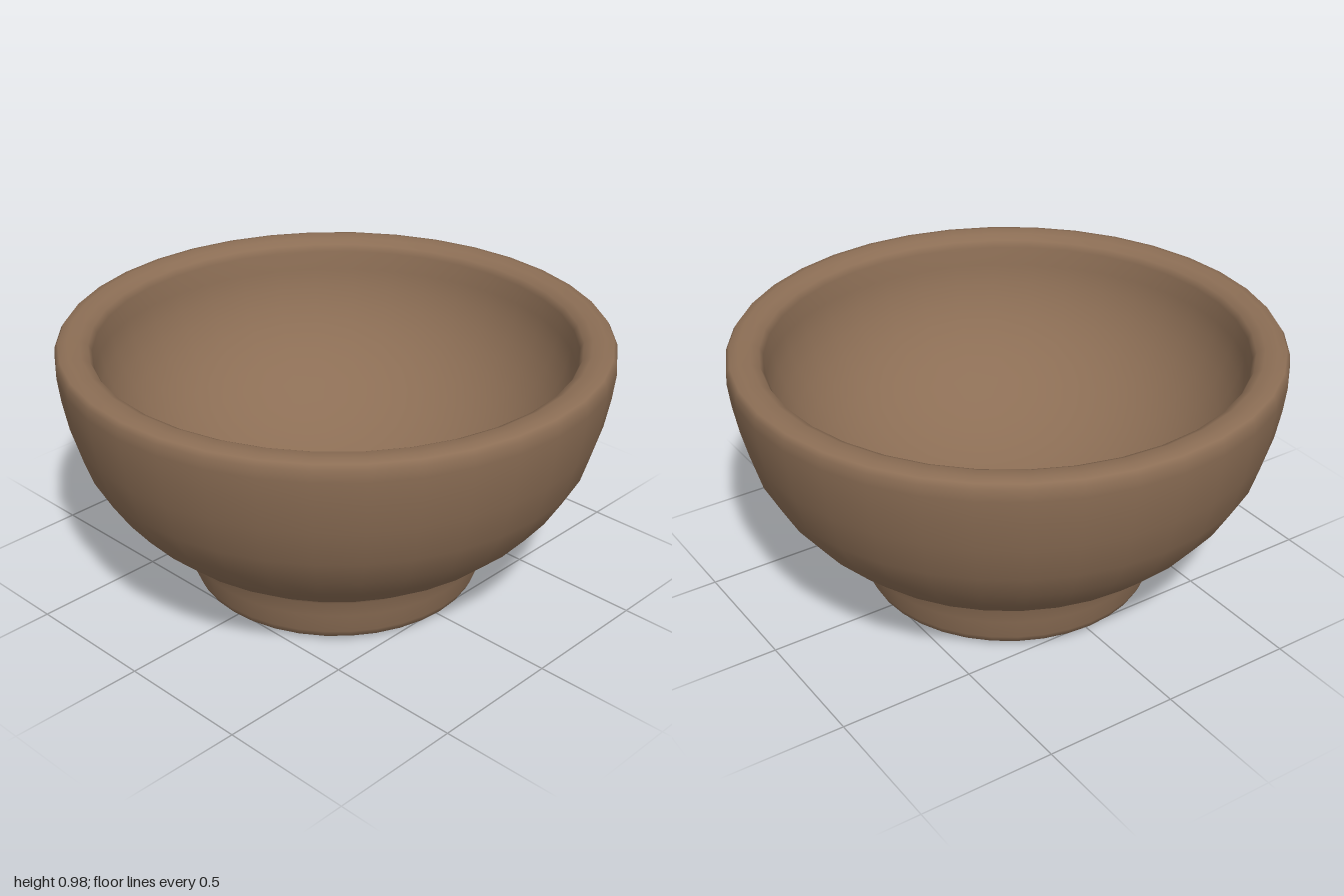
import * as THREE from 'three';

const SEGMENTS = 36;

// Revolve a profile of [radius, height] pairs around the y axis
function turned(name, profile, material) {
  const points = profile.map(([r, y]) => new THREE.Vector2(r, y));
  const mesh = new THREE.Mesh(new THREE.LatheGeometry(points, SEGMENTS), material);
  mesh.name = name;
  return mesh;
}

// Elliptical hollow, from the rim down to the centre
function hollow(radius, top, depth, steps) {
  const profile = [];
  for (let i = 0; i <= steps; i++) {
    const a = (i / steps) * Math.PI / 2;
    profile.push([i === steps ? 0 : radius * Math.cos(a), top - depth * Math.sin(a)]);
  }
  return profile;
}

export function createModel() {
  const group = new THREE.Group();
  group.name = 'bowl';
  const clay = new THREE.MeshStandardMaterial({ color: 0x8c6e55 });
  clay.name = 'brown clay';

  // Slightly flared foot with a softened lower edge and closed base
  group.add(turned('foot', [
    [0, 0], [0.48, 0], [0.507, 0.004], [0.53, 0.018], [0.543, 0.045],
    [0.556, 0.12], [0.567, 0.18], [0.58, 0.2],
  ], clay));

  // Outer wall, rounded rim and hollow inside in one continuous profile
  group.add(turned('body', [
    // outer wall
    [0.57, 0.19], [0.62, 0.222], [0.71, 0.285], [0.8, 0.37], [0.87, 0.46],
    [0.93, 0.57], [0.97, 0.71], [0.99, 0.82], [1, 0.91],
    // rim
    [0.997, 0.95], [0.985, 0.968], [0.955, 0.975], [0.91, 0.971], [0.88, 0.955],
    // inside
    ...hollow(0.867, 0.93, 0.65, 14),
  ], clay));

  return group;
}
